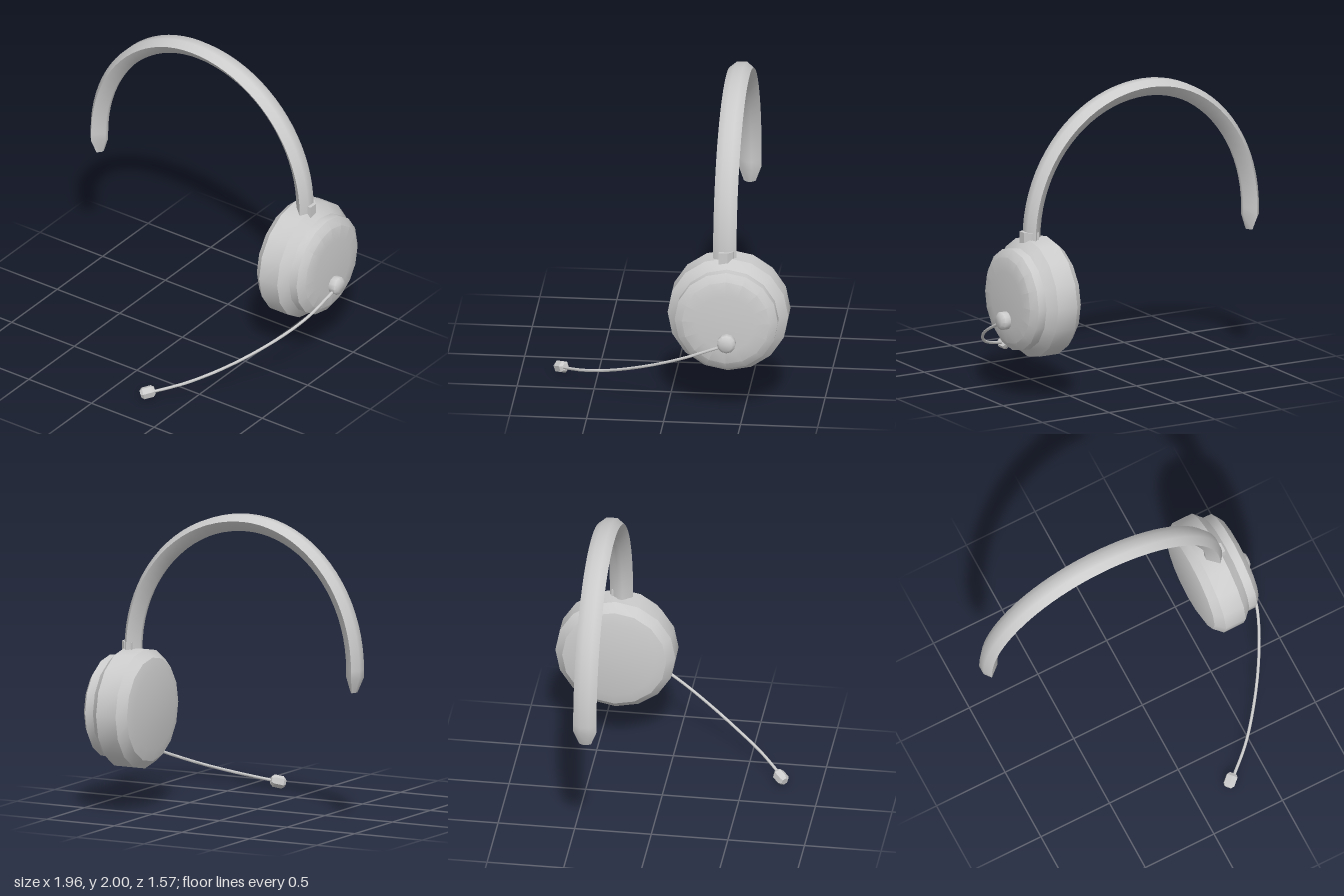
import * as THREE from 'three';
import { toCreasedNormals } from 'three/addons/utils/BufferGeometryUtils.js';

const grey = new THREE.MeshStandardMaterial({ color: 0xcccccc });

function part(name, geometry, crease = 0.52) {
  const mesh = new THREE.Mesh(toCreasedNormals(geometry, crease), grey);
  mesh.name = name;
  return mesh;
}

// Turned shape from [radius, height] pairs
function turned(profile, sides) {
  return new THREE.LatheGeometry(profile.map(([r, h]) => new THREE.Vector2(r, h)), sides);
}

// Arched band with a lens-like section, tapering to a free tip at one end
function headbandGeometry() {
  const rows = [
    { x: -0.94, y: 0.9, nx: 1, ny: 0, w: 0.5, d: 0.36 },
    { x: -0.98, y: 1.0, nx: 1, ny: 0, w: 1, d: 1 },
  ];
  const steps = 40, b = 0.95;
  for (let i = 0; i <= steps; i++) {
    const t = Math.PI * (1 - i / steps);
    const a = i < steps / 2 ? 0.84 : 0.9;
    const n = new THREE.Vector2(-Math.cos(t) / a, -Math.sin(t) / b).normalize();
    rows.push({ x: -0.14 + a * Math.cos(t), y: 1.05 + b * Math.sin(t), nx: n.x, ny: n.y, w: 1, d: 1 });
  }
  rows.push({ x: 0.76, y: 1.0, nx: -1, ny: 0, w: 1, d: 1 });

  // Cross-section as [across, depth below the outer face]
  const half = [[0.03, 0], [0.076, 0.037], [0.015, 0.108]];
  const section = [...half.map(([z, d]) => [-z, d]).reverse(), ...half];
  const n = section.length, last = rows.length - 1;
  const positions = [], index = [];
  for (const r of rows)
    for (const [z, d] of section)
      positions.push(r.x + r.nx * d * r.d, r.y + r.ny * d * r.d, -0.37 + z * r.w);
  for (let i = 0; i < last; i++)
    for (let j = 0; j < n; j++) {
      const k = (j + 1) % n;
      const p = i * n + j, q = i * n + k;
      index.push(p, q, p + n, p + n, q, q + n);
    }
  for (let j = 1; j < n - 1; j++) {
    index.push(0, j + 1, j);
    index.push(last * n, last * n + j, last * n + j + 1);
  }
  const g = new THREE.BufferGeometry();
  g.setAttribute('position', new THREE.Float32BufferAttribute(positions, 3));
  g.setIndex(index);
  return g;
}

export function createModel() {
  const model = new THREE.Group();
  model.name = 'headset';

  model.add(part('headband', headbandGeometry(), 1));

  // Ear cup: cushion and stepped outer shell, turned about the x axis
  const cup = part('earCup', turned([
    [0, 0.537], [0.27, 0.537], [0.34, 0.555], [0.392, 0.611], [0.392, 0.755],
    [0.335, 0.81], [0.335, 0.868], [0.285, 0.904], [0.19, 0.915], [0, 0.915],
  ], 16).rotateZ(-Math.PI / 2));
  cup.position.set(0, 0.666, -0.394);
  model.add(cup);

  // Clip joining the band to the cup
  const plan = new THREE.Shape([
    [0.69, 0.335], [0.78, 0.335], [0.78, 0.395], [0.745, 0.43], [0.69, 0.43],
  ].map(([x, y]) => new THREE.Vector2(x, y)));
  const clip = part('bandClip', new THREE.ExtrudeGeometry(plan, { depth: 0.1, bevelEnabled: false })
    .rotateX(-Math.PI / 2));
  clip.position.y = 1.0;
  model.add(clip);

  // Pivot knob on the outer face of the cup
  const knob = part('boomPivot', turned([
    [0, 0.9], [0.05, 0.9], [0.06, 0.92], [0.06, 0.96], [0.04, 0.977], [0, 0.977],
  ], 12).rotateZ(-Math.PI / 2), 0.9);
  knob.position.set(0, 0.537, -0.402);
  model.add(knob);

  // Curved microphone arm
  const path = new THREE.CatmullRomCurve3([
    [0.945, 0.52, -0.38], [0.908, 0.422, -0.155], [0.85, 0.352, 0], [0.74, 0.262, 0.2],
    [0.605, 0.178, 0.395], [0.45, 0.107, 0.579], [0.28, 0.05, 0.73],
  ].map((p) => new THREE.Vector3(...p)));
  model.add(part('microphoneArm', new THREE.TubeGeometry(path, 32, 0.01, 8), 1));

  // Microphone capsule aligned with the end of the arm
  const mic = part('microphone', turned([
    [0, -0.048], [0.026, -0.048], [0.041, -0.03], [0.041, 0.03], [0.026, 0.048], [0, 0.048],
  ], 6));
  mic.position.set(0.258, 0.046, 0.737);
  mic.quaternion.setFromUnitVectors(new THREE.Vector3(0, 1, 0), path.getTangent(1));
  model.add(mic);

  return model;
}
